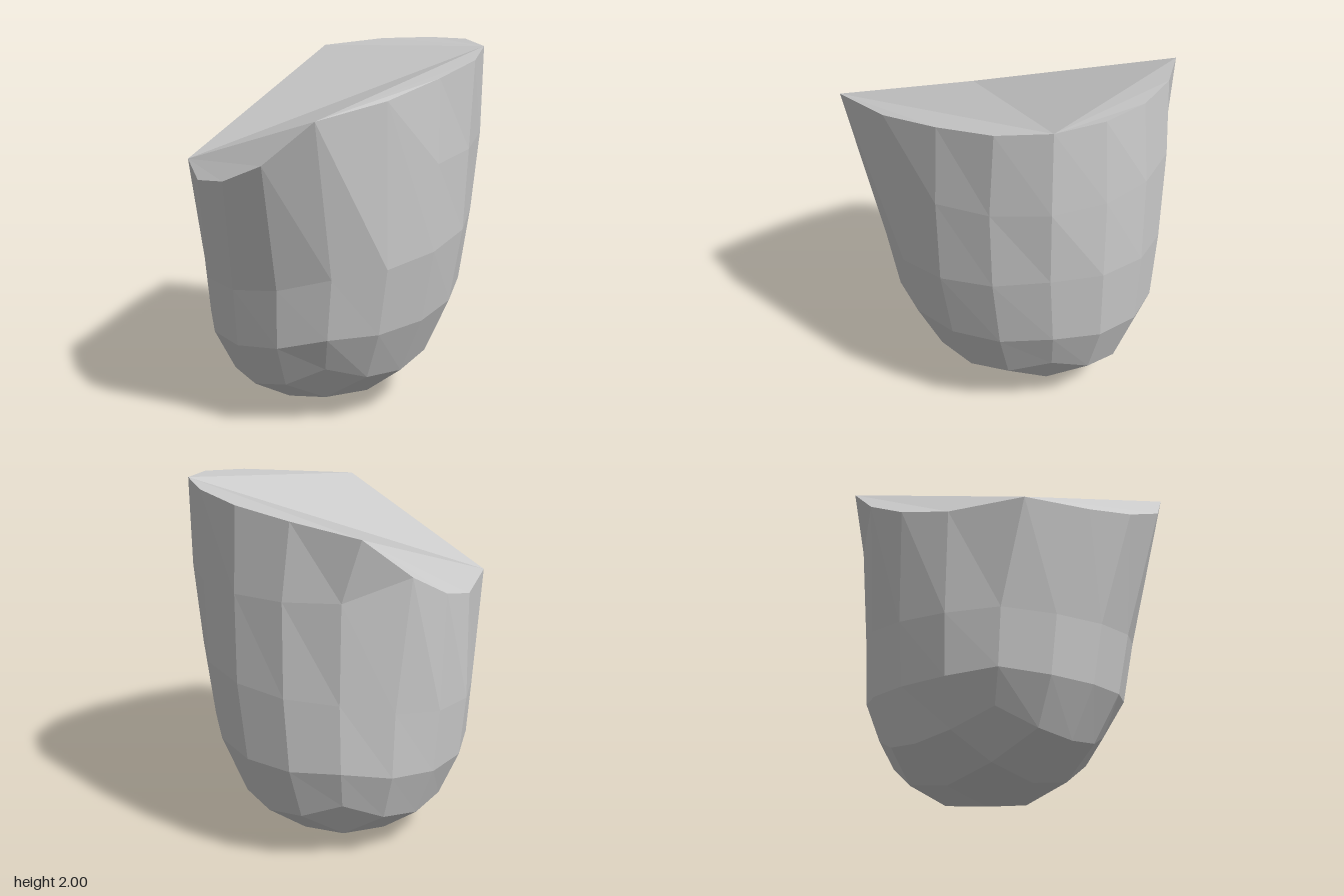
import * as THREE from 'three';

const SIDES = 16;

// Slanted rim of the cut top: starts front left, runs round by the front, +x side and back
const RIM = [
  [-0.46, 1.42, 0.61], [-0.16, 1.39, 0.79], [0.1, 1.44, 0.845], [0.36, 1.56, 0.82],
  [0.58, 1.79, 0.67], [0.69, 1.85, 0.28], [0.715, 1.92, -0.08], [0.68, 1.97, -0.4],
  [0.54, 2.0, -0.645], [0.3, 2.0, -0.78], [0.01, 1.975, -0.815], [-0.31, 1.94, -0.76],
  [-0.64, 1.88, -0.61], [-0.73, 1.65, -0.335], [-0.73, 1.5, -0.06], [-0.65, 1.415, 0.23],
];

// Tilted elliptical cross-section; bump raises and spreads the four diagonal corners
function ring({ cx, cz, rx, rz, y, tiltX, tiltZ, bump, spread }) {
  return Array.from({ length: SIDES }, (_, i) => {
    const a = (i / SIDES) * Math.PI * 2 - Math.PI / 4;
    const s = Math.sin(a), c = Math.cos(a);
    const corner = Math.sin(2 * a) ** 4;
    const r = 1 + spread * corner;
    return [cx + rx * s * r, y + tiltX * s + tiltZ * c + bump * corner, cz + rz * c * r];
  });
}

function faceted(name, triangles) {
  const geometry = new THREE.BufferGeometry();
  geometry.setAttribute('position', new THREE.Float32BufferAttribute(triangles.flat(2), 3));
  geometry.computeVertexNormals();
  const mesh = new THREE.Mesh(geometry, new THREE.MeshStandardMaterial({ color: 0xcccccc, flatShading: true }));
  mesh.name = name;
  return mesh;
}

// Two triangles per quad, dropping any that collapse where two rings meet
function quad(out, a, b, c, d) {
  if (a !== d) out.push([a, b, d]);
  if (b !== c) out.push([b, c, d]);
}

export function createModel() {
  const group = new THREE.Group();
  group.name = 'slantedRoundedBlock';

  const base = ring({ cx: -0.045, cz: -0.08, rx: 0.525, rz: 0.6, y: 0.245, tiltX: 0.025, tiltZ: -0.035, bump: 0.13, spread: 0.07 });
  const low = ring({ cx: -0.025, cz: -0.075, rx: 0.655, rz: 0.735, y: 0.55, tiltX: 0.05, tiltZ: -0.07, bump: 0.04, spread: 0.01 });
  const middle = ring({ cx: 0, cz: -0.07, rx: 0.71, rz: 0.775, y: 0.93, tiltX: 0.075, tiltZ: -0.12, bump: 0.03, spread: 0 });
  // The upper ring exists only on the tall back; elsewhere it merges into the rim
  const upper = ring({ cx: 0, cz: -0.07, rx: 0.728, rz: 0.775, y: 1.49, tiltX: -0.01, tiltZ: -0.04, bump: 0.02, spread: 0.04 })
    .map((p, i) => (i >= 6 && i <= 12 ? p : RIM[i]));

  // Side wall
  const wall = [];
  const rings = [base, low, middle, upper, RIM];
  for (let r = 0; r < rings.length - 1; r++) {
    for (let i = 0; i < SIDES; i++) {
      const j = (i + 1) % SIDES;
      quad(wall, rings[r][i], rings[r][j], rings[r + 1][j], rings[r + 1][i]);
    }
  }
  group.add(faceted('sideWall', wall));

  // Rounded bottom: a 4 by 4 patch whose border is the base ring
  const bottomPoint = (u, v) => {
    if (v === 0) return base[u];
    if (u === 4) return base[4 + v];
    if (v === 4) return base[12 - u];
    if (u === 0) return base[16 - v];
    const du = u - 2, dv = v - 2;
    const inset = du && dv ? 0.95 : 1;
    return [
      -0.06 + 0.285 * du * inset,
      0.06 * du * du + 0.065 * dv * dv + 0.01 * du + 0.015 * dv,
      -0.085 - 0.335 * dv * inset,
    ];
  };
  const bottom = [];
  for (let u = 0; u < 4; u++) {
    for (let v = 0; v < 4; v++) {
      quad(bottom, bottomPoint(u, v), bottomPoint(u, v + 1), bottomPoint(u + 1, v + 1), bottomPoint(u + 1, v));
    }
  }
  group.add(faceted('roundedBottom', bottom));

  // Cut top: two large triangles plus a fan over each of the four edge lobes
  const top = [[RIM[0], RIM[4], RIM[8]], [RIM[0], RIM[8], RIM[12]]];
  for (let k = 0; k < SIDES; k += 4) {
    for (let n = 1; n < 4; n++) {
      top.push([RIM[k], RIM[k + n], RIM[(k + n + 1) % SIDES]]);
    }
  }
  group.add(faceted('slantedTop', top));

  return group;
}
